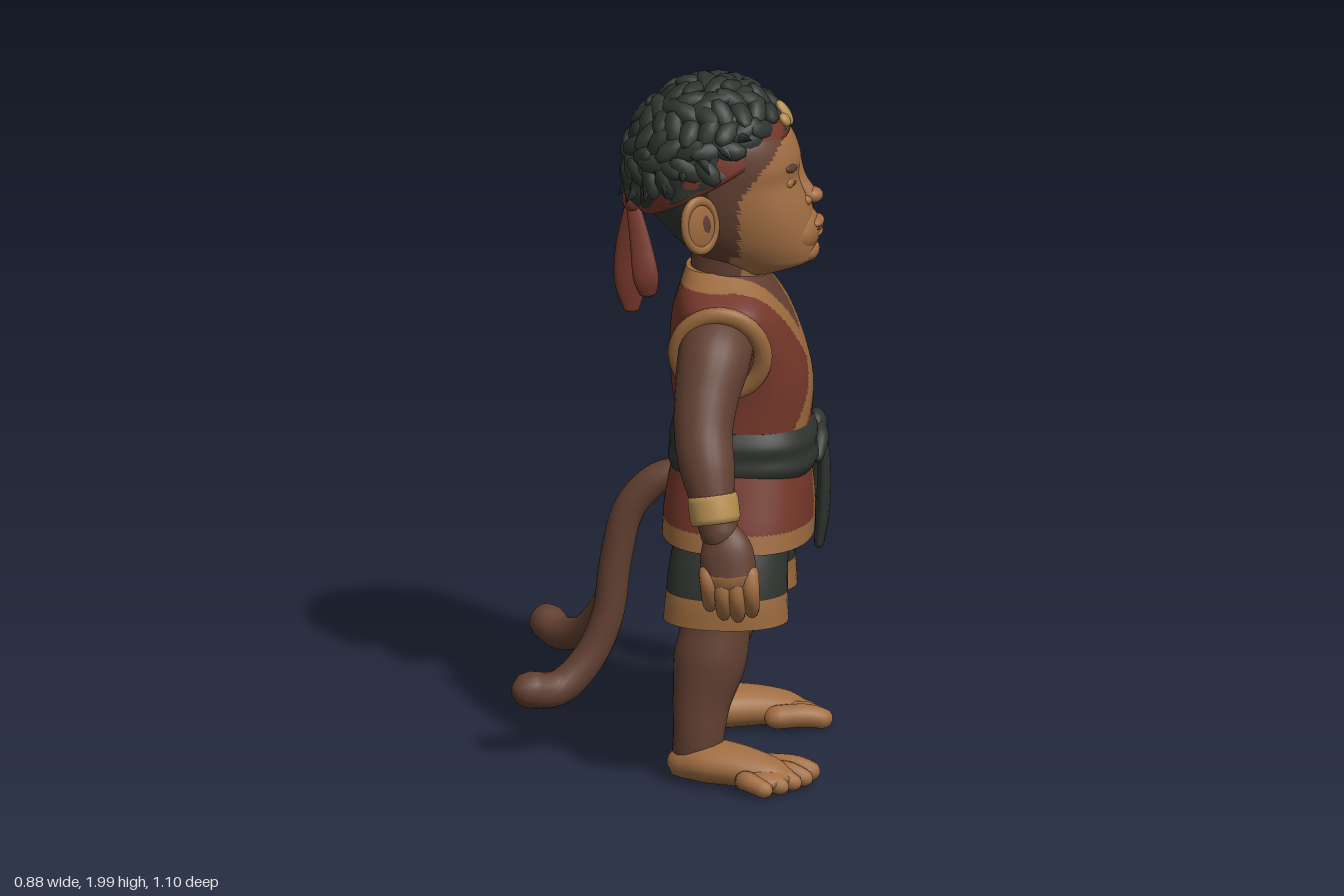
import * as THREE from 'three';

const mat = (name, color) => Object.assign(new THREE.MeshStandardMaterial({ color }), { name });
const V = (x, y, z) => new THREE.Vector3(x, y, z);

// Catmull-Rom over rows of numbers, t in 0..1
function spline(rows, t) {
  const f = t * (rows.length - 1), i = Math.min(Math.floor(f), rows.length - 2), u = f - i;
  const r = k => rows[Math.max(0, Math.min(rows.length - 1, k))];
  return rows[i].map((b, k) => {
    const a = r(i - 1)[k], c = r(i + 1)[k], d = r(i + 2)[k];
    return b + 0.5 * u * (c - a + u * (2 * a - 5 * b + 4 * c - d + u * (3 * (b - c) + d - a)));
  });
}

// Skin a list of closed rings
function skin(rings) {
  const n = rings[0].length, pos = [], idx = [];
  rings.forEach(r => r.forEach(p => pos.push(p.x, p.y, p.z)));
  for (let j = 0; j < rings.length - 1; j++) for (let i = 0; i < n; i++) {
    const a = j * n + i, b = j * n + (i + 1) % n;
    idx.push(a, b, a + n, b, b + n, a + n);
  }
  const g = new THREE.BufferGeometry();
  g.setAttribute('position', new THREE.Float32BufferAttribute(pos, 3));
  g.setIndex(idx);
  g.computeVertexNormals();
  return g;
}

// Upright form; rows ascend as [y, halfWidth, back, front, centreX]
function loft(rows, nu = 48, nv = 32, power = 0.9) {
  const bend = s => Math.sign(s) * Math.abs(s) ** power;
  const ring = (t, k) => {
    const [y, w, b, f, cx = 0] = spline(rows, t);
    return Array.from({ length: nu }, (_, i) => {
      const a = i / nu * Math.PI * 2;
      return V(cx + k * w * bend(Math.sin(a)), y, (b + f) / 2 + k * (f - b) / 2 * bend(Math.cos(a)));
    });
  };
  const body = Array.from({ length: nv + 1 }, (_, j) => ring(j / nv, 1));
  return skin([ring(0, 0), ring(0, 1), ...body, ring(1, 1), ring(1, 0)]);
}

// Round-ended limb; points are [x, y, z, radius], wide stretches it along x
function limb(pts, wide = 1, nu = 16, nv = 20) {
  const at = t => { const p = spline(pts, t); return V(p[0], p[1], p[2]); };
  const ring = (t, phi) => {
    const dir = at(Math.min(1, t + 0.01)).sub(at(Math.max(0, t - 0.01))).normalize();
    const n = V(1, 0, 0).cross(dir).normalize(), s = dir.clone().cross(n);
    const r = spline(pts, t)[3], c = at(t).addScaledVector(dir, r * Math.sin(phi) * Math.min(1, wide));
    return Array.from({ length: nu }, (_, i) => {
      const a = i / nu * Math.PI * 2, k = r * Math.cos(phi);
      return c.clone().addScaledVector(s, k * wide * Math.cos(a)).addScaledVector(n, -k * Math.sin(a));
    });
  };
  const caps = [1.57, 1.1, 0.55];
  return skin([...caps.map(p => ring(0, -p)),
    ...Array.from({ length: nv + 1 }, (_, j) => ring(j / nv, 0)), ...caps.reverse().map(p => ring(1, p))]);
}

// Sort faces into material groups by a rule on their centres
function paint(g, rule, count) {
  const p = g.attributes.position, ix = g.index.array, sets = Array.from({ length: count }, () => []);
  for (let i = 0; i < ix.length; i += 3) {
    const t = [ix[i], ix[i + 1], ix[i + 2]], m = f => t.reduce((s, k) => s + p[f](k), 0) / 3;
    sets[rule(m('getX'), m('getY'), m('getZ'))].push(...t);
  }
  g.setIndex(sets.flat());
  let start = 0;
  sets.forEach((s, i) => { g.addGroup(start, s.length, i); start += s.length; });
  return g;
}

export function createModel() {
  const root = new THREE.Group(), body = new THREE.Group();
  body.name = 'figure';
  body.rotation.y = Math.PI / 2;
  root.add(body);
  const fur = mat('brown fur', 0x613f31), tan = mat('tan skin', 0xa06d42), red = mat('red cloth', 0x733629);
  const trim = mat('trim', 0x9b6a3e), dark = mat('dark cloth', 0x2f332f), hair = mat('hair', 0x2e342f), gold = mat('gold', 0xb58d50);

  const add = (name, g, m, parent = body) => {
    const o = new THREE.Mesh(g, m); o.name = name; parent.add(o); return o;
  };
  const ball = (name, m, c, r, parent = body, seg = 18) => {
    const o = add(name, new THREE.SphereGeometry(1, seg, seg * 2 / 3).scale(...r), m, parent);
    o.position.set(...c);
    return o;
  };
  const band = (r, h, t) => new THREE.LatheGeometry([[r - t, -h], [r + t * 0.6, -h], [r + t, -h * 0.6],
    [r + t, h * 0.6], [r + t * 0.6, h], [r - t, h]].map(p => new THREE.Vector2(...p)), 48);

  // Head: fur temples, tan face, hair at the nape
  const head = loft([[1.43, 0.07, 0.13, 0.3], [1.46, 0.1, 0.1, 0.385], [1.49, 0.122, 0.05, 0.402], [1.53, 0.145, 0.005, 0.403],
    [1.58, 0.165, -0.04, 0.398], [1.64, 0.181, -0.075, 0.384], [1.71, 0.192, -0.088, 0.358], [1.77, 0.195, -0.082, 0.358],
    [1.84, 0.185, -0.06, 0.325], [1.89, 0.14, 0, 0.25]], 88, 64);
  add('head', paint(head, (x, y, z) => z > 0.2 + Math.max(0, y - 1.68) * 0.75 || (y < 1.5 && z > 0.17) ? 1
    : z < 0.07 + Math.max(0, y - 1.6) * 0.4 ? 2 : 0, 3), [fur, tan, hair]);
  ball('muzzle', tan, [0, 1.55, 0.34], [0.1, 0.075, 0.077]);
  ball('upperLip', tan, [0, 1.573, 0.4], [0.048, 0.016, 0.026]);
  ball('lowerLip', tan, [0, 1.543, 0.4], [0.04, 0.014, 0.022]);
  ball('mouthLine', fur, [0, 1.558, 0.409], [0.04, 0.003, 0.014]);
  ball('chin', tan, [0, 1.49, 0.375], [0.06, 0.035, 0.038]);
  ball('noseTip', tan, [0, 1.648, 0.39], [0.03, 0.024, 0.033]);
  add('noseBridge', limb([[0, 1.76, 0.34, 0.02], [0, 1.7, 0.353, 0.022], [0, 1.65, 0.382, 0.024]], 1.3), tan);
  add('neck', paint(limb([[0, 1.26, 0.15, 0.1], [0, 1.4, 0.155, 0.105], [0, 1.52, 0.17, 0.11]], 0.95, 32),
    (x, y, z) => z > 0.2 && y > 1.38 ? 1 : 0, 2), [fur, tan]);

  // Hair mass with curls, headband and emblem share one tilted frame
  const crown = new THREE.Group();
  crown.name = 'crown';
  crown.position.set(0, 1.75, 0.105);
  crown.rotation.x = -0.53;
  body.add(crown);
  const cap = new THREE.SphereGeometry(1, 56, 32, 0, Math.PI * 2, 0, Math.PI * 0.53), cp = cap.attributes.position;
  for (let i = 0; i < cp.count; i++) {
    const x = cp.getX(i), y = cp.getY(i), z = cp.getZ(i);
    const k = 1 + 0.025 * Math.sin(11 * x + 4 * z) + 0.025 * Math.sin(13 * z - 5 * y) + 0.02 * Math.sin(17 * y + 9 * x);
    cp.setXYZ(i, x * k * 0.21, y * k * 0.222, z * k * 0.238);
  }
  cap.computeVertexNormals();
  add('hairCap', cap, hair, crown);
  for (let i = 0; i < 100; i++) {
    const y = 0.08 + 0.9 * i / 100, a = i * 2.39996, q = Math.sqrt(1 - y * y);
    const n = V(q * Math.sin(a), y, q * Math.cos(a));
    const curl = ball('hairCurl', hair, [n.x * 0.206, n.y * 0.218, n.z * 0.232], [0.055, 0.022, 0.03], crown, 9);
    curl.quaternion.setFromUnitVectors(V(0, 1, 0), n);
    curl.rotateY(i * 1.7).rotateZ(0.25);
  }
  for (let i = 0; i < 17; i++) {
    const a = 0.9 + i * 0.28, lock = add('hairLock', new THREE.ConeGeometry(0.03, 0.09, 7), hair, crown);
    lock.position.set(0.212 * Math.sin(a), 0.045, 0.24 * Math.cos(a));
    lock.quaternion.setFromUnitVectors(V(0, 1, 0), V(Math.sin(a), -0.7 + 0.5 * Math.sin(i * 4), Math.cos(a)).normalize());
  }
  add('headband', band(1, 0.036, 0.04).scale(0.203, 1, 0.235), red, crown);
  ball('emblemCentre', gold, [0, 0.012, 0.25], [0.022, 0.04, 0.016], crown);
  for (const s of [-1, 1]) ball('emblemLeaf', gold, [s * 0.028, 0, 0.246], [0.026, 0.02, 0.014], crown).rotation.z = s * 0.5;
  ball('headbandKnot', red, [0, 1.625, -0.11], [0.035, 0.04, 0.03]);
  add('headbandTail', limb([[0.01, 1.62, -0.11, 0.018], [0.03, 1.48, -0.125, 0.034], [0.035, 1.37, -0.12, 0.044], [0.03, 1.29, -0.115, 0.022]], 0.4), red);
  add('headbandTail', limb([[-0.01, 1.62, -0.11, 0.018], [-0.03, 1.5, -0.085, 0.03], [-0.045, 1.41, -0.07, 0.036], [-0.04, 1.36, -0.065, 0.025]], 0.4), red);

  // Vest with crossed collar and bare chest
  const vest = loft([[0.86, 0.19, 0.02, 0.37], [0.98, 0.188, 0.015, 0.388], [1.1, 0.19, 0, 0.395], [1.2, 0.203, -0.005, 0.375],
    [1.3, 0.225, 0, 0.337], [1.36, 0.22, 0.015, 0.3], [1.41, 0.14, 0.03, 0.265], [1.44, 0.095, 0.04, 0.235]], 120, 100, 0.82);
  add('vest', paint(vest, (x, y, z) => {
    if (z < 0.17) return y > 1.4 ? 1 : 0;
    const c = (y - 1.185) * 0.55, over = x - c, under = x + c;
    if (Math.abs(over) < 0.033) return 1;
    if (over > 0) return y > 1.41 ? 1 : 0;
    if (Math.abs(under) < 0.033 && y > 1.185) return 1;
    return under > 0 && y > 1.185 ? 2 : 0;
  }, 3), [red, trim, fur]);

  // Skirt with trimmed hem and front split
  const skirt = loft([[0.67, 0.268, -0.025, 0.4], [0.74, 0.25, -0.022, 0.4], [0.82, 0.225, -0.01, 0.393], [0.9, 0.2, 0.01, 0.38]], 96, 48, 0.8);
  add('skirt', paint(skirt, (x, y, z) => {
    if (y < 0.6715) return 2;
    if (z > 0.2) {
      const d = Math.abs(x - 0.01) - (0.78 - y) * 0.4;
      if (d < 0) return 2;
      if (d < 0.035) return 1;
    }
    return y < 0.722 ? 1 : 0;
  }, 3), [red, trim, dark]);

  // Sash, folds, knot and hanging ends
  add('sash', loft([[0.86, 0.197, 0, 0.395], [0.89, 0.21, -0.01, 0.41], [0.925, 0.206, -0.005, 0.404], [0.96, 0.208, -0.005, 0.406], [1, 0.19, 0.008, 0.388]], 56, 20, 0.82), dark);
  ball('sashKnot', dark, [0.11, 0.935, 0.395], [0.05, 0.05, 0.032]);
  add('sashLoop', limb([[0.1, 0.95, 0.4, 0.018], [0.05, 0.92, 0.41, 0.024], [0, 0.88, 0.408, 0.016]], 1), dark);
  add('sashEnd', limb([[0.11, 0.93, 0.405, 0.016], [0.13, 0.82, 0.415, 0.018], [0.15, 0.68, 0.41, 0.02], [0.145, 0.58, 0.4, 0.014]], 2.2), dark);
  add('sashEnd', limb([[0.12, 0.93, 0.395, 0.016], [0.18, 0.83, 0.39, 0.02], [0.21, 0.74, 0.38, 0.022], [0.205, 0.65, 0.38, 0.016]], 1.9), dark);

  for (const s of [-1, 1]) {
    const side = s > 0 ? 'right' : 'left', m = pts => pts.map(([x, ...r]) => [x * s, ...r]);
    const at = (x, y, z) => [x * s, y, z];

    // Eyes, brows and nostrils
    ball(side + 'Brow', fur, at(0.075, 1.75, 0.337), [0.04, 0.016, 0.014]).rotation.set(0, s * 0.3, s * 0.15);
    ball(side + 'Eyelid', tan, at(0.072, 1.708, 0.33), [0.034, 0.02, 0.018]);
    ball(side + 'Eye', fur, at(0.074, 1.705, 0.339), [0.028, 0.006, 0.012]).rotation.y = s * 0.25;
    ball(side + 'Nostril', tan, at(0.026, 1.64, 0.374), [0.02, 0.016, 0.02]);

    // Ear: cupped rim with an inner plate
    const ear = new THREE.Group();
    ear.name = side + 'Ear';
    ear.position.set(...at(0.215, 1.62, 0.095));
    ear.rotation.set(0, s * 0.8, s * -0.25);
    body.add(ear);
    ball('earShell', tan, [0, 0, -0.008], [0.062, 0.085, 0.022], ear);
    add('earRim', new THREE.TorusGeometry(0.055, 0.011, 10, 32).scale(1, 1.35, 1), tan, ear);
    ball('earInner', fur, [s * -0.012, 0, 0.007], [0.02, 0.035, 0.008], ear);

    // Arm, armhole and bracelet
    const hole = add(side + 'Armhole', new THREE.TorusGeometry(0.12, 0.026, 12, 40).scale(1, 1.06, 0.8), trim);
    hole.position.set(...at(0.207, 1.24, 0.15));
    hole.rotation.set(0, Math.PI / 2, s * -0.25, 'ZYX');
    add(side + 'Arm', limb(m([[0.19, 1.275, 0.145, 0.1], [0.25, 1.235, 0.135, 0.102], [0.31, 1.15, 0.12, 0.09], [0.362, 1.06, 0.115, 0.082],
      [0.41, 0.97, 0.13, 0.077], [0.45, 0.88, 0.15, 0.06], [0.475, 0.8, 0.17, 0.054]]), 0.92, 24, 32), fur);
    const cuff = add(side + 'Bracelet', band(0.062, 0.04, 0.009), gold);
    cuff.position.set(...at(0.457, 0.87, 0.152));
    cuff.rotation.set(-0.15, 0, s * 0.25);

    // Hand with curled fingers and thumb
    add(side + 'Palm', paint(limb(m([[0.475, 0.81, 0.172, 0.052], [0.49, 0.76, 0.188, 0.074], [0.503, 0.69, 0.198, 0.078]]), 0.62, 28),
      (x, y) => Math.abs(x) > 0.475 && y > 0.7 ? 0 : 1, 2), [fur, tan]);
    for (let i = 0; i < 4; i++) {
      const z = 0.138 + i * 0.039, drop = [0.03, 0.005, 0, 0.015][i];
      add(side + 'Finger', limb(m([[0.51, 0.7, z, 0.026], [0.523, 0.64 + drop, z + 0.004, 0.025],
        [0.5, 0.59 + drop, z + 0.005, 0.023], [0.47, 0.562 + drop, z + 0.004, 0.019]]), 1, 12, 12), tan);
    }
    add(side + 'Thumb', limb(m([[0.47, 0.77, 0.21, 0.034], [0.428, 0.72, 0.232, 0.029], [0.41, 0.67, 0.242, 0.025], [0.412, 0.62, 0.242, 0.018]]), 1, 12, 12), tan);

    // Shorts leg with hem
    const shorts = loft([[0.455, 0.126, -0.012, 0.338, s * 0.16], [0.53, 0.126, -0.005, 0.335, s * 0.156],
      [0.62, 0.126, 0.005, 0.335, s * 0.134], [0.74, 0.11, 0.03, 0.34, s * 0.1]], 48, 30);
    add(side + 'ShortsLeg', paint(shorts, (x, y) => y < 0.54 ? 1 : 0, 2), [dark, trim]);

    // Leg and foot with five toes
    add(side + 'Leg', limb(m([[0.165, 0.54, 0.14, 0.1], [0.185, 0.43, 0.135, 0.098], [0.2, 0.34, 0.12, 0.102],
      [0.22, 0.23, 0.1, 0.082], [0.235, 0.14, 0.093, 0.072], [0.235, 0.085, 0.09, 0.072]]), 0.87, 24, 28), fur);
    const foot = new THREE.Group();
    foot.name = side + 'Foot';
    foot.position.set(...at(0.235, 0, 0.09));
    foot.rotation.y = s * 0.3;
    body.add(foot);
    add('sole', limb([[0, 0.055, -0.035, 0.05], [0, 0.062, 0.03, 0.06], [0, 0.058, 0.12, 0.056], [0, 0.047, 0.21, 0.045], [0, 0.036, 0.25, 0.034]], 1.45, 24), tan, foot);
    ball('ballOfFoot', tan, [0, 0.038, 0.2], [0.104, 0.036, 0.085], foot);
    for (let i = 0; i < 5; i++) {
      const x = s * (-0.086 + i * 0.043), r = i ? 0.028 : 0.034, z = [0.298, 0.3, 0.285, 0.265, 0.235][i];
      add('toe', limb([[x * 0.9, 0.042, 0.17, r], [x, 0.044, z - 0.05, r], [x * 1.08, r, z, r * 0.88]], 1, 12, 10), tan, foot);
    }
  }

  // Whole tail and a second loose tail
  add('tail', limb([[0.03, 0.82, 0.03, 0.04], [0.03, 0.79, -0.05, 0.045], [0.025, 0.7, -0.125, 0.045], [0.02, 0.55, -0.16, 0.045],
    [0.01, 0.4, -0.18, 0.045], [-0.01, 0.28, -0.23, 0.046], [-0.045, 0.2, -0.31, 0.05], [-0.09, 0.205, -0.39, 0.052]], 1, 20, 40), fur);
  add('looseTail', limb([[0.23, 0.5, -0.155, 0.022], [0.26, 0.42, -0.18, 0.036], [0.31, 0.32, -0.215, 0.04], [0.38, 0.23, -0.275, 0.042],
    [0.45, 0.195, -0.34, 0.048], [0.5, 0.21, -0.385, 0.052]], 1, 20, 32), fur);
  return root;
}
